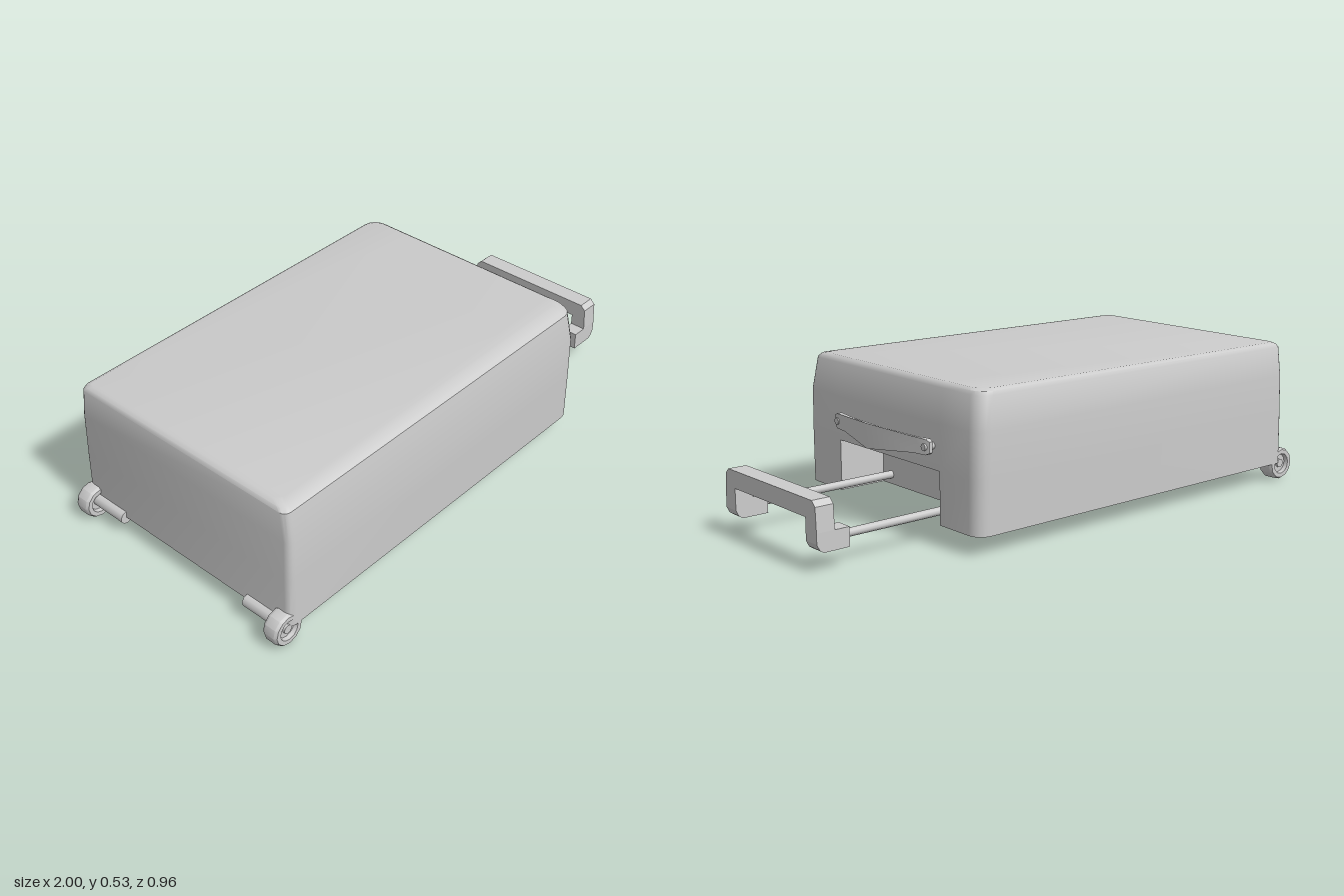
import * as THREE from 'three';
import { toCreasedNormals } from 'three/addons/utils/BufferGeometryUtils.js';

const material = new THREE.MeshStandardMaterial({ color: 0xcccccc });

function add(parent, name, geometry, x = 0, y = 0, z = 0) {
  const mesh = new THREE.Mesh(geometry, material);
  mesh.name = name;
  mesh.position.set(x, y, z);
  parent.add(mesh);
  return mesh;
}

// Joins closed loops of points (counterclockwise about the loft direction) and caps both ends.
// project maps a point to 2D for triangulating the caps.
function loft(rings, project, crease = 0.6) {
  const out = [];
  const tri = (a, b, c) => {
    const area = new THREE.Triangle(a, b, c).getArea();
    if (area > 1e-7) for (const p of [a, b, c]) out.push(p.x, p.y, p.z);
  };
  const n = rings[0].length;
  for (let k = 0; k < rings.length - 1; k++) {
    const lo = rings[k], hi = rings[k + 1];
    for (let i = 0; i < n; i++) {
      const j = (i + 1) % n;
      tri(lo[i], lo[j], hi[j]);
      tri(lo[i], hi[j], hi[i]);
    }
  }
  const cap = (ring, flip) => {
    for (const [a, b, c] of THREE.ShapeUtils.triangulateShape(ring.map(project), [])) {
      if (flip) tri(ring[c], ring[b], ring[a]);
      else tri(ring[a], ring[b], ring[c]);
    }
  };
  cap(rings[0], true);
  cap(rings[rings.length - 1], false);
  const g = new THREE.BufferGeometry();
  g.setAttribute('position', new THREE.Float32BufferAttribute(out, 3));
  g.computeVertexNormals();
  return toCreasedNormals(g, crease);
}

// One level of the case: a rounded rectangle with a notch of depth d in its +x side.
function caseRing([y, x0, x1, z0, z1, d, tilt]) {
  const pts = [];
  const put = (x, z) => pts.push(new THREE.Vector3(x, y + tilt * x, z));
  const corner = (cx, cz, r, start) => {
    for (let i = 0; i <= 4; i++) {
      const a = start + (i / 4) * Math.PI / 2;
      put(cx + r * Math.cos(a), cz - r * Math.sin(a));
    }
  };
  const rb = 0.025, rf = 0.05;
  corner(x0 + rb, z1 - rb, rb, Math.PI);
  corner(x1 - rf, z1 - rf, rf, Math.PI * 1.5);
  put(x1, 0.275);
  put(x1 - d, 0.275);
  put(x1 - d, -0.285);
  put(x1, -0.285);
  corner(x1 - rf, z0 + rf, rf, 0);
  corner(x0 + rb, z0 + rb, rb, Math.PI / 2);
  return pts;
}

function extrude(points, depth) {
  const shape = new THREE.Shape(points.map(([x, y]) => new THREE.Vector2(x, y)));
  return new THREE.ExtrudeGeometry(shape, { depth, bevelEnabled: false });
}

export function createModel() {
  const model = new THREE.Group();
  model.name = 'suitcase';

  // Case: y, x range, z range, notch depth, tilt along x
  const levels = [
    [0.065, -0.936, 0.535, -0.481, 0.481, 0.18, 0],
    [0.245, -0.931, 0.535, -0.482, 0.482, 0.18, 0],
    [0.245, -0.931, 0.535, -0.482, 0.482, 0, 0],
    [0.402, -0.925, 0.533, -0.482, 0.482, 0, 0],
    [0.512, -0.921, 0.518, -0.471, 0.466, 0, 0.005],
    [0.524, -0.914, 0.512, -0.465, 0.45, 0, 0.006],
    [0.531, -0.9, 0.5, -0.452, 0.415, 0, 0.006],
  ];
  add(model, 'case', loft(levels.map(caseRing), p => new THREE.Vector2(p.x, -p.z)));

  // Carry handle: wedge sections running along z, widest in the middle
  const carry = new THREE.Group();
  carry.name = 'carryHandle';
  model.add(carry);
  const sections = [
    // z, inner x, outer x, inner half height, outer half height
    [-0.27, 0.55, 0.562, 0.018, 0.018],
    [-0.255, 0.547, 0.568, 0.026, 0.026],
    [-0.2, 0.55, 0.574, 0.022, 0.027],
    [-0.005, 0.558, 0.62, 0.02, 0.043],
    [0.19, 0.55, 0.574, 0.022, 0.027],
    [0.245, 0.547, 0.568, 0.026, 0.026],
    [0.262, 0.55, 0.562, 0.018, 0.018],
  ];
  const strap = sections.map(([z, xi, xo, hi, ho]) => [
    [xi, -hi], [xo, -ho], [xo, ho], [xi, hi],
  ].map(([x, y]) => new THREE.Vector3(x, 0.324 + y, z)));
  add(carry, 'carryStrap', loft(strap, p => new THREE.Vector2(p.x, p.y)));
  for (const z of [-0.25, 0.24]) {
    const pin = add(carry, 'carryPin', new THREE.CylinderGeometry(0.012, 0.012, 0.055, 10), 0.546, 0.324, z);
    pin.rotation.z = Math.PI / 2;
  }

  // Pull handle: rods, feet and a chamfered U-shaped grip
  const pull = new THREE.Group();
  pull.name = 'pullHandle';
  pull.position.z = -0.01;
  model.add(pull);
  const foot = extrude([[0.88, 0.065], [0.975, 0.065], [0.99, 0.075], [1, 0.095],
    [1, 0.13], [0.88, 0.13]], 0.06);
  for (const s of [-1, 1]) {
    const rod = add(pull, 'rod', new THREE.CylinderGeometry(0.014, 0.014, 0.54, 10), 0.625, 0.1, s * 0.237);
    rod.rotation.z = Math.PI / 2;
    add(pull, 'foot', foot, 0, 0, s * 0.239 - 0.03);
  }
  const grip = add(pull, 'grip', extrude([[-0.269, 0.13], [-0.209, 0.13], [-0.209, 0.17], [0.209, 0.17],
    [0.209, 0.13], [0.269, 0.13], [0.265, 0.212], [0.247, 0.23], [-0.247, 0.23], [-0.265, 0.212]], 0.066));
  grip.rotation.y = Math.PI / 2;
  grip.position.x = 0.934;

  // Wheels with dished hubs, and their axle stubs
  const half = [[0.006, 0.024], [0.016, 0.024], [0.016, 0.016], [0.034, 0.016],
    [0.038, 0.03], [0.054, 0.03], [0.06, 0.02]];
  const profile = [[0, -0.024], ...half.map(([r, h]) => [r, -h]), ...half.slice().reverse(), [0, 0.024]]
    .map(([r, h]) => new THREE.Vector2(r, h));
  const wheelGeometry = toCreasedNormals(new THREE.LatheGeometry(profile, 12), 0.7);
  for (const s of [-1, 1]) {
    const wheel = add(model, 'wheel', wheelGeometry, -0.94, 0.06, s * 0.45);
    wheel.rotation.x = Math.PI / 2;
    const axle = add(model, 'axle', new THREE.CylinderGeometry(0.024, 0.024, 0.16, 10), -0.936, 0.065, s * 0.371);
    axle.rotation.x = Math.PI / 2;
  }
  return model;
}
